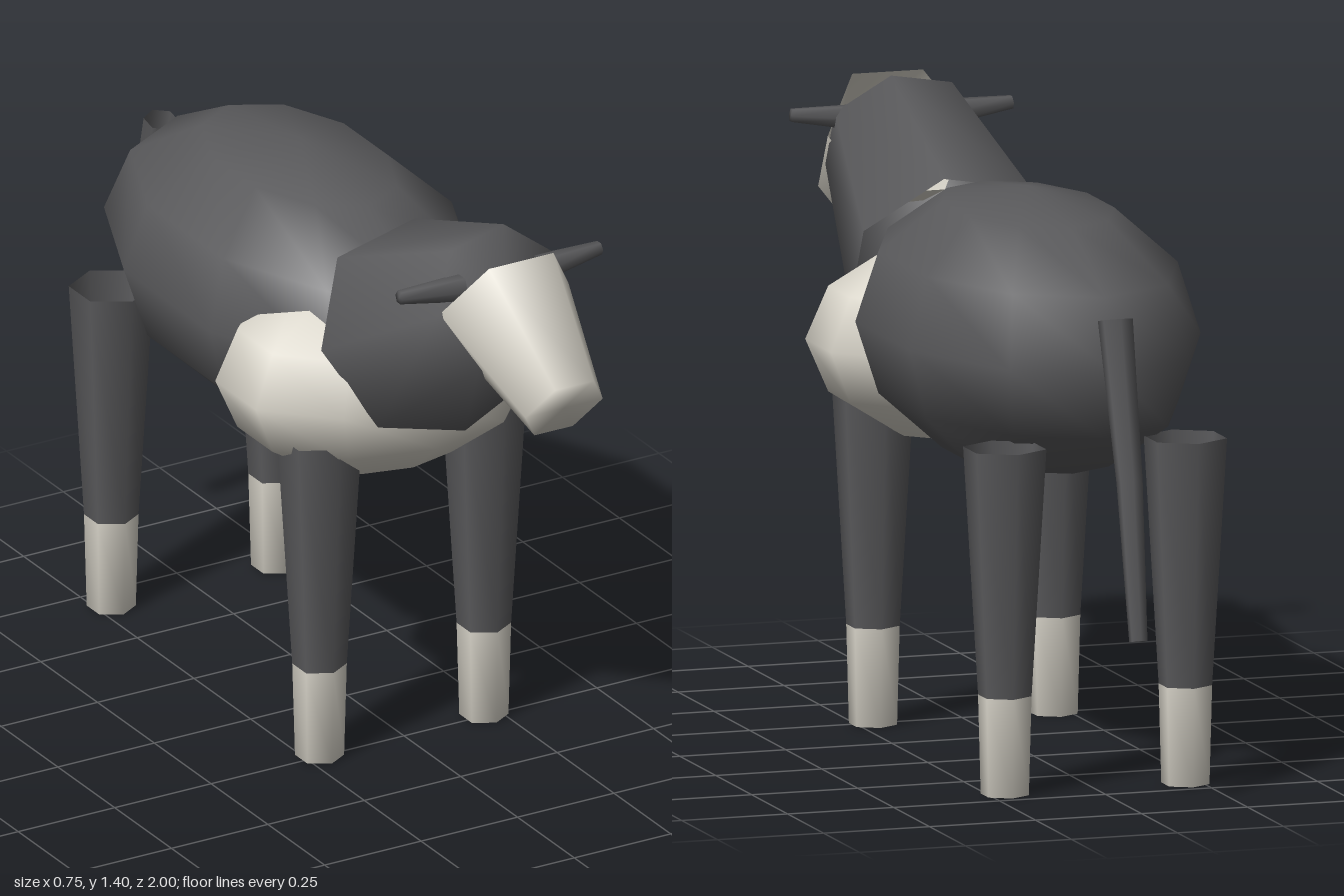
import * as THREE from 'three';

const darkHide = new THREE.MeshStandardMaterial({ color: 0x59595b, side: THREE.DoubleSide });
darkHide.name = 'darkHide';
const paleHide = new THREE.MeshStandardMaterial({ color: 0xd9d5ca, side: THREE.DoubleSide });
paleHide.name = 'paleHide';

const UP = new THREE.Vector3(0, 1, 0);

export function createModel() {
  const model = new THREE.Group();

  function add(name, geometry, material) {
    const mesh = new THREE.Mesh(geometry, material);
    mesh.name = name;
    model.add(mesh);
    return mesh;
  }

  // Low-poly ellipsoid with a meridian facing the front
  function ellipsoid(name, material, center, radii) {
    const g = new THREE.SphereGeometry(1, 10, 6).rotateY(Math.PI / 2);
    g.scale(...radii).translate(...center);
    return add(name, g, material);
  }

  // Tapered limb from a to b: open at the start, optionally capped at the end.
  // radii are spread evenly along the limb; bend shifts the middle along z.
  function limb(name, material, a, b, radii, { sides = 6, phase = 0, cap = true, bend = 0 } = {}) {
    const start = new THREE.Vector3(...a);
    const dir = new THREE.Vector3(...b).sub(start);
    const length = dir.length();
    const last = radii.length - 1;
    const profile = radii.map((r, i) => new THREE.Vector2(r, (length * i) / last));
    if (cap) profile.push(new THREE.Vector2(0, length));
    const g = new THREE.LatheGeometry(profile, sides, phase);
    g.applyQuaternion(new THREE.Quaternion().setFromUnitVectors(UP, dir.normalize()));
    g.translate(...a);
    if (bend) {
      const p = g.attributes.position;
      for (let i = 0; i < p.count; i++) {
        if (i % profile.length === 1) p.setZ(i, p.getZ(i) + bend);
      }
    }
    return add(name, g, material);
  }

  // Trunk and pale shoulders
  ellipsoid('body', darkHide, [0, 0.967, -0.21], [0.36, 0.322, 0.62]);
  ellipsoid('shoulders', paleHide, [0, 0.885, 0.145], [0.394, 0.24, 0.29]);

  // Neck and muzzle
  limb('neck', darkHide, [0, 1.027, 0.313], [0, 1.25, 0.7], [0.25, 0.175], { sides: 7, phase: 0.2 });
  limb('muzzle', paleHide, [0, 1.254, 0.69], [0, 1.09, 0.955], [0.167, 0.1], { phase: Math.PI / 6 });

  // Tail, slightly bowed backwards
  limb('tail', darkHide, [0, 1.09, -0.818], [0, 0.387, -0.978], [0.04, 0.03, 0.021], { bend: -0.019 });

  // Paired parts
  for (const [side, s] of [['left', 1], ['right', -1]]) {
    limb(side + 'Horn', darkHide, [0.1 * s, 1.296, 0.67], [0.26 * s, 1.31, 0.67], [0.032, 0.016]);
    for (const [end, z] of [['Front', 0.24], ['Rear', -0.677]]) {
      const x = 0.213 * s;
      limb(side + end + 'Leg', darkHide, [x, 0.787, z], [x, 0.225, z], [0.095, 0.061], { cap: false });
      limb(side + end + 'Foot', paleHide, [x, 0.225, z], [x, 0, z], [0.061, 0.055]);
    }
  }

  return model;
}
